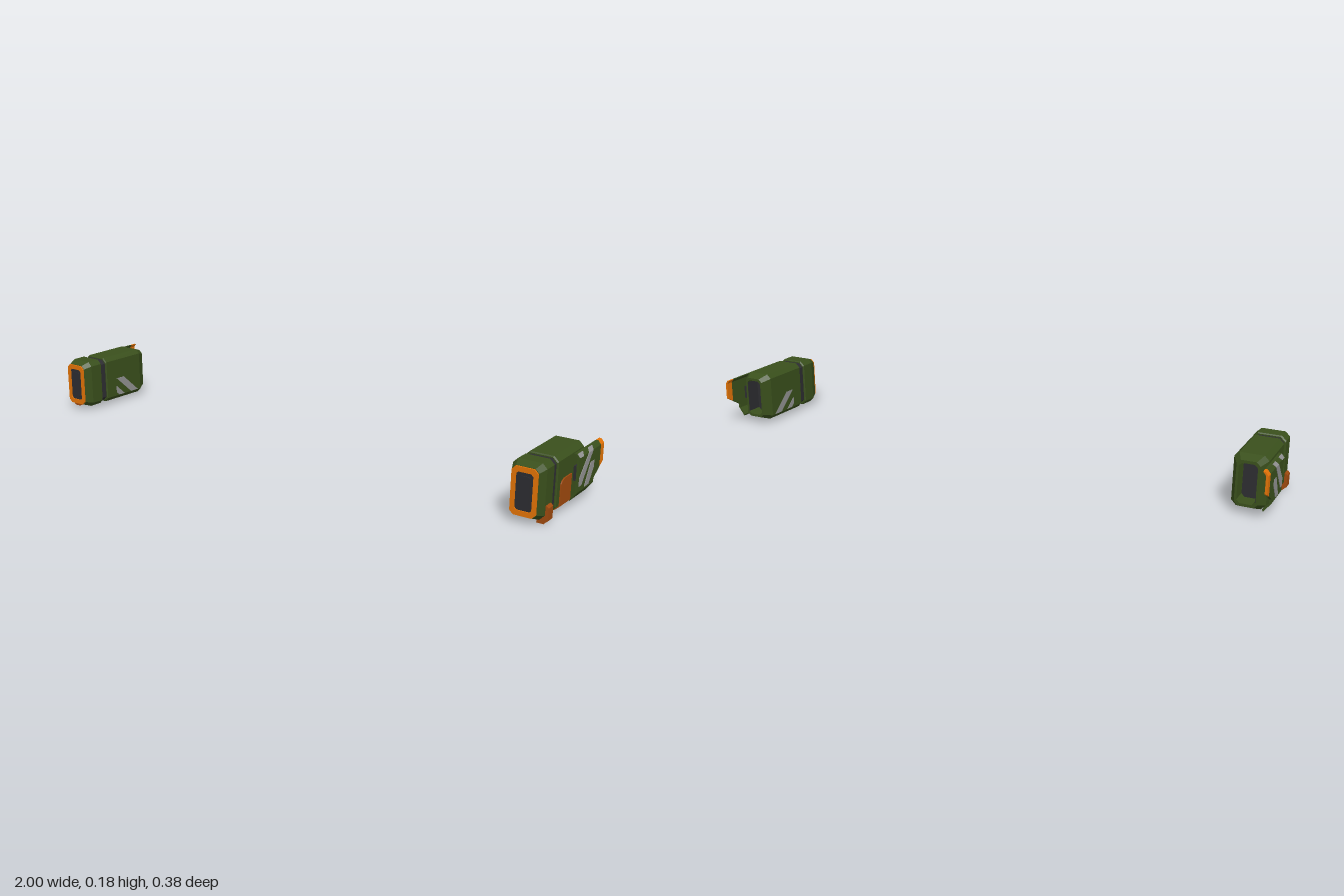
import * as THREE from 'three';

const mat = (name, color) => {
  const m = new THREE.MeshStandardMaterial({ color });
  m.name = name;
  return m;
};

const CX = 0.922, CY = 0.0975; // pod axis
const FOLD = 0.158; // height where the fin bends inward

// Octagon outline with cut corners, centred on the pod axis
function octagon(hw, hh, c) {
  return [
    [hw, -hh + c], [hw, hh - c], [hw - c, hh], [-hw + c, hh],
    [-hw, hh - c], [-hw, -hh + c], [-hw + c, -hh], [hw - c, -hh],
  ].map(([x, y]) => [CX + x, CY + y]);
}

// Closed solid through octagon sections [z, halfWidth, halfHeight, cut]
function loft(sections) {
  const rings = sections.map(([z, hw, hh, c]) => octagon(hw, hh, c).map(([x, y]) => [x, y, z]));
  const pos = [];
  const tri = (a, b, c) => pos.push(...a, ...b, ...c);
  for (let r = 0; r < rings.length - 1; r++) {
    for (let i = 0; i < 8; i++) {
      const j = (i + 1) % 8, A = rings[r], B = rings[r + 1];
      tri(A[i], A[j], B[j]);
      tri(A[i], B[j], B[i]);
    }
  }
  const first = rings[0], last = rings[rings.length - 1];
  for (let i = 1; i < 7; i++) {
    tri(first[0], first[i + 1], first[i]);
    tri(last[0], last[i], last[i + 1]);
  }
  const g = new THREE.BufferGeometry();
  g.setAttribute('position', new THREE.Float32BufferAttribute(pos, 3));
  return g;
}

const toShape = (pts) => new THREE.Shape(pts.map(([a, b]) => new THREE.Vector2(a, b)));
const extrude = (shape, depth) => new THREE.ExtrudeGeometry(shape, { depth, bevelEnabled: false });

// Side plate: outline in (z, y), spanning x0..x1, leaning inward above the fold
function sidePlate(pts, x0, x1) {
  return extrude(toShape(pts), x1 - x0).rotateY(-Math.PI / 2).translate(x1, 0, 0);
}
function foldedPlate(pts, x0, x1) {
  const g = sidePlate(pts, x0, x1), p = g.attributes.position;
  for (let i = 0; i < p.count; i++) {
    p.setX(i, p.getX(i) - Math.max(0, p.getY(i) - FOLD) * 0.8);
  }
  return g;
}

// Bar along z: section in (x, y), spanning z0..z1
const bar = (pts, z0, z1) => extrude(toShape(pts), z1 - z0).translate(0, 0, z0);

// Flat-normal copy of a geometry, optionally reflected in x
function finish(geometry, mirrored) {
  const g = geometry.index ? geometry.toNonIndexed() : geometry.clone();
  g.clearGroups();
  if (mirrored) {
    const p = g.attributes.position;
    const v = [0, 1, 2].map(() => new THREE.Vector3());
    for (let i = 0; i < p.count; i += 3) {
      v.forEach((w, k) => w.fromBufferAttribute(p, i + k));
      [0, 2, 1].forEach((s, k) => p.setXYZ(i + k, -v[s].x, v[s].y, v[s].z));
    }
  }
  g.computeVertexNormals();
  return g;
}

export function createModel() {
  const green = mat('olive green', 0x3a501c);
  const orange = mat('bright orange', 0xe47406);
  const rust = mat('rust orange', 0xa04a0e);
  const dark = mat('dark grey', 0x2d2d31);
  const grey = mat('stripe grey', 0x929292);

  const parts = [];
  const add = (name, geometry, material) => parts.push({ name, geometry, material });

  // Rear shell, hollow at the back, with a dark floor and outer wall in the recess
  add('rearBody', loft([
    [-0.070, 0.029, 0.064, 0.010], [-0.125, 0.029, 0.064, 0.010],
    [-0.125, 0.036, 0.073, 0.012], [-0.092, 0.053, 0.0855, 0.015],
    [0.081, 0.053, 0.0855, 0.015], [0.084, 0.050, 0.082, 0.015],
  ]), green);
  add('recessFloor', loft([[-0.072, 0.028, 0.063, 0.010], [-0.069, 0.028, 0.063, 0.010]]), dark);
  add('recessWall', sidePlate([
    [-0.124, 0.0425], [-0.070, 0.0425], [-0.070, 0.1525], [-0.124, 0.1525],
  ], 0.949, 0.952), dark);

  // Band and front shell
  add('band', loft([[0.082, 0.047, 0.079, 0.014], [0.110, 0.047, 0.079, 0.014]]), dark);
  add('frontBody', loft([
    [0.107, 0.050, 0.082, 0.015], [0.110, 0.053, 0.0855, 0.015],
    [0.157, 0.053, 0.0855, 0.015], [0.185, 0.042, 0.075, 0.012],
  ]), green);

  // Front trim ring around a dark slot
  const ring = toShape(octagon(0.041, 0.074, 0.012));
  ring.holes.push(new THREE.Path(octagon(0.027, 0.058, 0.007).map(([x, y]) => new THREE.Vector2(x, y))));
  add('frontRing', extrude(ring, 0.007).translate(0, 0, 0.183), orange);
  add('frontGrille', loft([[0.184, 0.027, 0.058, 0.007], [0.1865, 0.027, 0.058, 0.007]]), dark);
  add('frontGrilleBlock', loft([[0.186, 0.017, 0.047, 0.004], [0.189, 0.017, 0.047, 0.004]]), dark);

  // Outer side panel, wrapped under the lower edge
  add('sidePanel', sidePlate([
    [0.062, 0.026], [0.062, 0.094], [0.056, 0.102], [0.040, 0.108], [-0.009, 0.108], [-0.009, 0.026],
  ], 0.970, 0.979), rust);
  add('sidePanelLip', bar([[0.970, 0.028], [0.958, 0.014], [0.962, 0.011], [0.979, 0.026]], -0.009, 0.062), rust);

  // Small foot at the lower front
  add('foot', bar([
    [0.950, 0.000], [0.972, 0.000], [0.985, 0.012], [0.985, 0.051], [0.978, 0.057], [0.970, 0.057], [0.970, 0.020], [0.950, 0.014],
  ], 0.123, 0.153), rust);

  // Fin on the outer side with its mount, folded top edge and lower lip
  add('finMount', new THREE.BoxGeometry(0.026, 0.046, 0.07).translate(0.982, 0.102, -0.062), dark);
  add('fin', sidePlate([
    [-0.010, 0.050], [-0.010, FOLD], [-0.165, FOLD], [-0.165, 0.087], [-0.126, 0.063], [-0.126, 0.050],
  ], 0.991, 0.9985), green);
  add('finTip', sidePlate([
    [-0.165, 0.087], [-0.165, FOLD], [-0.189, FOLD], [-0.189, 0.101],
  ], 0.991, 0.9985), orange);
  const topEdge = (z0, z1) => foldedPlate([[z0, FOLD], [z0, 0.170], [z1, 0.170], [z1, FOLD]], 0.991, 0.9985);
  add('finTopEdge', topEdge(-0.010, -0.165), green);
  add('finTipTopEdge', topEdge(-0.165, -0.189), orange);
  add('finLowerLip', bar([[0.972, 0.026], [0.976, 0.020], [0.9985, 0.050], [0.991, 0.050]], -0.126, -0.010), green);

  // Painted diagonal stripes on the fin, carried over the fold
  [
    [[-0.012, FOLD], [-0.012, 0.169], [-0.048, 0.169], [-0.037, FOLD]],
    [[-0.016, 0.068], [-0.016, 0.094], [-0.076, FOLD], [-0.106, FOLD], [-0.033, 0.068]],
    [[-0.076, FOLD], [-0.086, 0.169], [-0.115, 0.169], [-0.106, FOLD]],
    [[-0.056, 0.056], [-0.094, 0.123], [-0.119, 0.123], [-0.119, 0.102], [-0.087, 0.056]],
  ].forEach((pts) => add('finStripe', foldedPlate(pts, 0.998, 1.0), grey));

  // Painted stripes on the inner wall
  [
    [[0.032, 0.095], [-0.005, 0.095], [-0.077, 0.028], [-0.040, 0.028]],
    [[0.035, 0.066], [0.035, 0.040], [0.022, 0.028], [-0.006, 0.028]],
  ].forEach((pts) => add('innerStripe', sidePlate(pts, 0.868, 0.870), grey));

  // Left pod and its mirror image
  const model = new THREE.Group();
  for (const mirrored of [false, true]) {
    const pod = new THREE.Group();
    pod.name = mirrored ? 'rightPod' : 'leftPod';
    for (const { name, geometry, material } of parts) {
      const mesh = new THREE.Mesh(finish(geometry, mirrored), material);
      mesh.name = name;
      pod.add(mesh);
    }
    model.add(pod);
  }
  return model;
}
